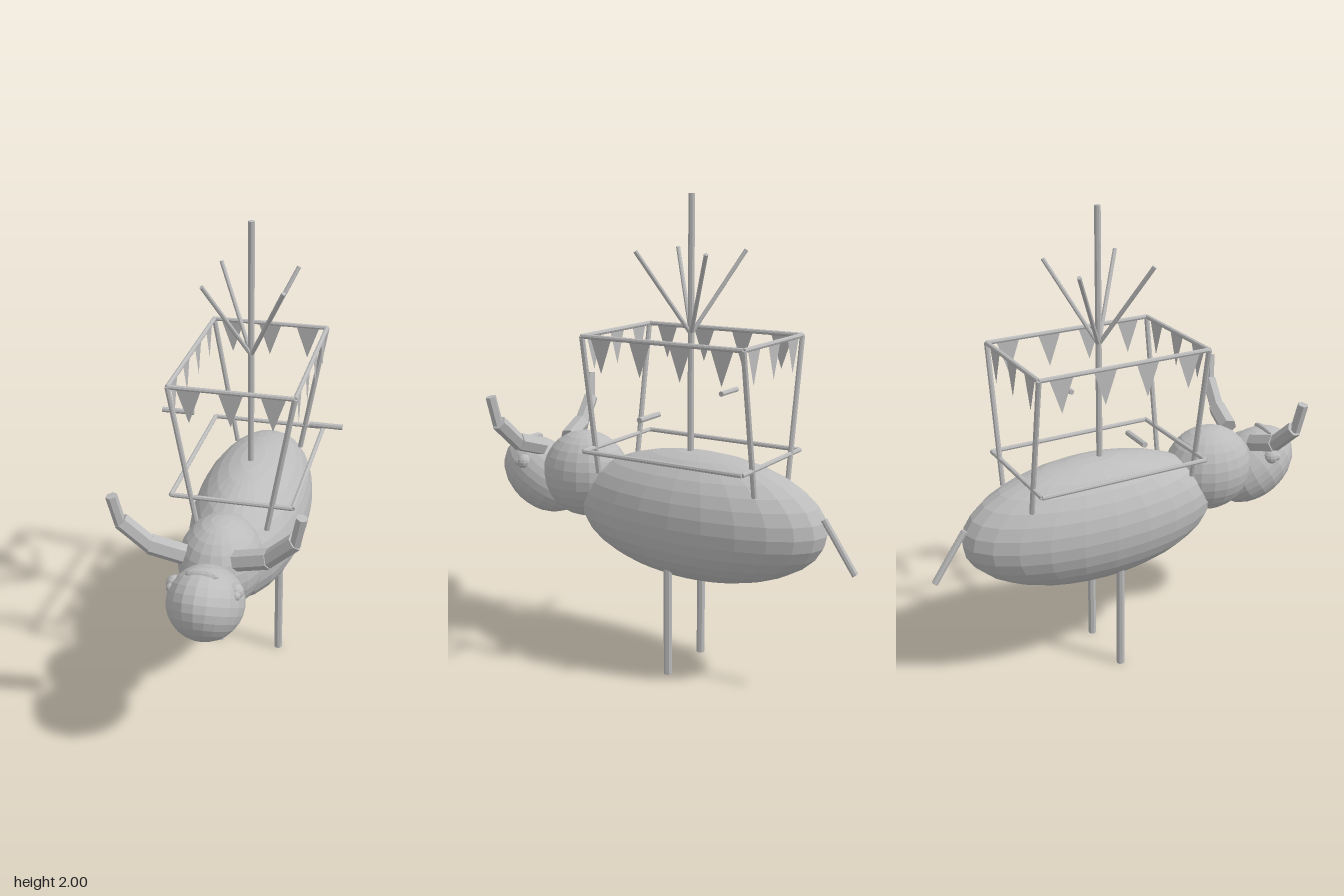
import * as THREE from 'three';

export function createModel() {
  const model = new THREE.Group();
  model.name = 'festiveAnimal';
  const grey = new THREE.MeshStandardMaterial({ color: 0xbcbcbc, flatShading: true });
  grey.name = 'grey';
  const greyCloth = new THREE.MeshStandardMaterial({ color: 0xbcbcbc, side: THREE.DoubleSide });
  greyCloth.name = 'grey cloth';

  function add(name, geometry, material = grey) {
    const mesh = new THREE.Mesh(geometry, material);
    mesh.name = name;
    model.add(mesh);
    return mesh;
  }

  function ellipsoid(name, pos, radii, tilt = 0, seg = 20, rings = 14) {
    const mesh = add(name, new THREE.SphereGeometry(1, seg, rings));
    mesh.position.set(...pos);
    mesh.scale.set(...radii);
    mesh.rotation.x = tilt;
  }

  // Straight rod between two points
  function rod(name, from, to, r, sides = 8) {
    const a = new THREE.Vector3(...from);
    const b = new THREE.Vector3(...to);
    const dir = b.clone().sub(a);
    const mesh = add(name, new THREE.CylinderGeometry(r, r, dir.length(), sides));
    mesh.position.copy(a).add(b).multiplyScalar(0.5);
    mesh.quaternion.setFromUnitVectors(new THREE.Vector3(0, 1, 0), dir.normalize());
  }

  // Body, neck and head
  ellipsoid('body', [0, 0.68, -0.142], [0.248, 0.274, 0.584], 0, 24, 16);
  ellipsoid('neck', [0, 0.782, 0.437], [0.169, 0.191, 0.2]);
  ellipsoid('head', [0, 0.745, 0.677], [0.149, 0.149, 0.208], -0.56);
  ellipsoid('mouth', [0, 0.902, 0.728], [0.065, 0.026, 0.016], -0.4, 12, 8);
  rod('tail', [0, 0.75, -0.715], [0, 0.545, -0.855], 0.014);

  // Paired features
  for (const s of [1, -1]) {
    const side = s > 0 ? 'left' : 'right';
    ellipsoid(side + 'Eye', [s * 0.117, 0.823, 0.69], [0.034, 0.034, 0.034], 0, 12, 8);
    ellipsoid(side + 'Pupil', [s * 0.125, 0.82, 0.714], [0.02, 0.02, 0.02], 0, 10, 8);
    rod(side + 'Leg', [s * 0.137, 0, -0.077], [s * 0.137, 0.5, -0.077], 0.018);
    rod(side + 'Peg', [s * 0.25, 1.15, -0.105], [s * 0.388, 1.15, -0.105], 0.012);
    // Horn in three tapering hexagonal pieces
    rod(side + 'HornBase', [s * 0.1, 0.902, 0.605], [s * 0.23, 0.945, 0.628], 0.041, 6);
    rod(side + 'HornMiddle', [s * 0.218, 0.933, 0.626], [s * 0.333, 1.045, 0.647], 0.034, 6);
    rod(side + 'HornTip', [s * 0.334, 1.035, 0.65], [s * 0.359, 1.16, 0.664], 0.023, 6);
  }

  // Canopy frame: two rectangles of rails and four leaning posts
  const X = 0.252, ZC = -0.11, ZH = 0.372, TOP = 1.433, LOW = 0.952;
  for (const y of [LOW, TOP]) {
    const level = y === TOP ? 'upper' : 'lower';
    for (const s of [1, -1]) {
      rod(level + 'SideRail', [s * X, y, ZC - ZH], [s * X, y, ZC + ZH], 0.01);
      rod(level + 'CrossRail', [-X, y, ZC + s * ZH], [X, y, ZC + s * ZH], 0.01);
    }
  }
  for (const sx of [1, -1]) {
    for (const sz of [1, -1]) {
      const z = ZC + sz * ZH;
      rod('post', [sx * 0.148, 0.84, z], [sx * X, TOP, z], 0.0115);
      // Spokes fanning out from the mast
      rod('spoke', [0, 1.44, -0.103], [sx * 0.162, 1.775, -0.103 + sz * 0.162], 0.009);
    }
  }
  rod('mast', [0, 0.9, -0.103], [0, 2, -0.103], 0.0135);

  // Triangular bunting hung from the upper rails
  const pennant = new THREE.Shape([
    new THREE.Vector2(-0.052, 0),
    new THREE.Vector2(0, -0.147),
    new THREE.Vector2(0.052, 0),
  ]);
  const flagGeometry = new THREE.ShapeGeometry(pennant);
  function flags(count, length, place) {
    for (let i = 0; i < count; i++) {
      place(add('flag', flagGeometry, greyCloth), ((i + 0.5) / count - 0.5) * length);
    }
  }
  for (const s of [1, -1]) {
    flags(3, 2 * X, (m, t) => m.position.set(t, TOP, ZC + s * ZH));
    flags(4, 2 * ZH, (m, t) => {
      m.position.set(s * X, TOP, ZC + t);
      m.rotation.y = s * Math.PI / 2;
    });
  }
  return model;
}
